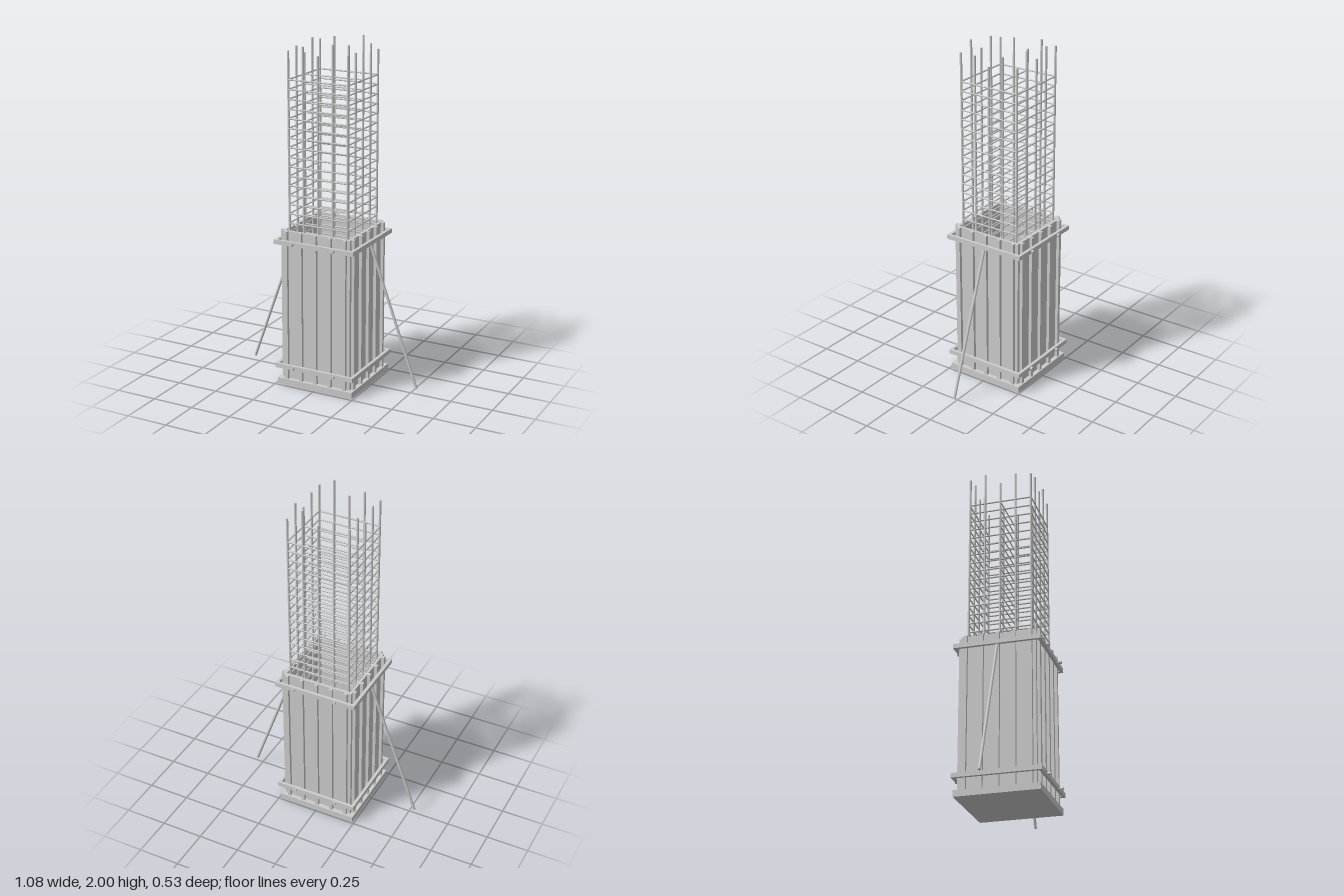
import * as THREE from 'three';

const material = new THREE.MeshStandardMaterial({ color: 0xcccccc });
const STEP = 0.0915; // bar and batten spacing

function add(parent, name, geometry, x = 0, y = 0, z = 0) {
  const mesh = new THREE.Mesh(geometry, material);
  mesh.name = name;
  mesh.position.set(x, y, z);
  parent.add(mesh);
  return mesh;
}

const box = (parent, name, w, h, d, x, y, z) =>
  add(parent, name, new THREE.BoxGeometry(w, h, d), x, y, z);

// Round rod between two points
function rod(parent, name, from, to, radius, sides = 8) {
  const a = new THREE.Vector3(...from), b = new THREE.Vector3(...to);
  const dir = b.clone().sub(a);
  const mesh = add(parent, name, new THREE.CylinderGeometry(radius, radius, dir.length(), sides));
  mesh.position.copy(a).add(b).multiplyScalar(0.5);
  mesh.quaternion.setFromUnitVectors(new THREE.Vector3(0, 1, 0), dir.normalize());
  return mesh;
}

function group(parent, name) {
  const g = new THREE.Group();
  g.name = name;
  parent.add(g);
  return g;
}

export function createModel() {
  const model = new THREE.Group();
  model.name = 'columnFormwork';
  const body = group(model, 'column');
  body.position.z = -0.004;

  // Base slab with a low raised pad inside
  box(body, 'baseSlab', 0.48, 0.037, 0.48, 0, 0.0185, 0);
  box(body, 'basePad', 0.29, 0.012, 0.29, 0, 0.043, 0);

  // Four form panels, each with vertical battens
  const bottom = 0.037, top = 0.93;
  const height = top - bottom, mid = (top + bottom) / 2;
  for (let side = 0; side < 4; side++) {
    const panel = group(body, 'formPanel');
    panel.rotation.y = side * Math.PI / 2;
    box(panel, 'plywood', side % 2 ? 0.396 : 0.428, height, 0.016, 0, mid, 0.206);
    for (let i = -2; i <= 2; i++)
      box(panel, 'batten', 0.02, height, 0.018, i * 0.0925, mid, 0.223);
    // Spacers between the cage and the panel
    for (let i = -1; i <= 1; i++)
      rod(panel, 'spacer', [i * STEP, 0.926, 0.188], [i * STEP, 0.926, 0.22], 0.006);
  }

  // Clamping frames with bolt ends at front and back
  for (const y of [0.117, 0.867]) {
    const clamp = group(body, 'clampFrame');
    for (const s of [-1, 1]) {
      box(clamp, 'clampRail', 0.5, 0.026, 0.018, 0, y, s * 0.241);
      box(clamp, 'clampRail', 0.018, 0.026, 0.464, s * 0.241, y, 0);
      for (const x of [-0.13, 0.13])
        rod(clamp, 'bolt', [x, y, s * 0.225], [x, y, s > 0 ? 0.271 : -0.263], 0.009, 10);
    }
  }

  // Upright bars around the perimeter; rows run back to front, left to right
  const cage = group(body, 'reinforcementCage');
  const tops = [
    [1.96, 1.98, 1.935, 2.0, 1.93],
    [1.98, 0, 0, 0, 1.975],
    [1.91, 0, 0, 0, 1.905],
    [1.96, 0, 0, 0, 1.95],
    [1.947, 1.975, 1.93, 2.0, 1.95],
  ];
  tops.forEach((row, j) => row.forEach((h, i) => {
    if (!h) return;
    const x = (i - 2) * STEP, z = (j - 2) * STEP;
    rod(cage, 'uprightBar', [x, 0.037, z], [x, h, z], 0.0068);
  }));

  // Square ties with one cross tie at every level
  const r = 0.185;
  for (let k = 0; k < 32; k++) {
    const y = 1.787 - k * 0.0545;
    const tie = group(cage, 'tieLevel');
    for (const s of [-1, 1]) {
      rod(tie, 'tieBar', [-r, y, s * r], [r, y, s * r], 0.0048, 6);
      rod(tie, 'tieBar', [s * r, y, -r], [s * r, y, r], 0.0048, 6);
    }
    rod(tie, 'crossTie', [-r, y, 0], [r, y, 0], 0.004, 6);
  }

  // Raking props on both sides
  for (const s of [-1, 1])
    rod(body, 'prop', [s * 0.235, 0.855, 0], [s * 0.534, 0.03, 0], 0.0085);

  return model;
}
